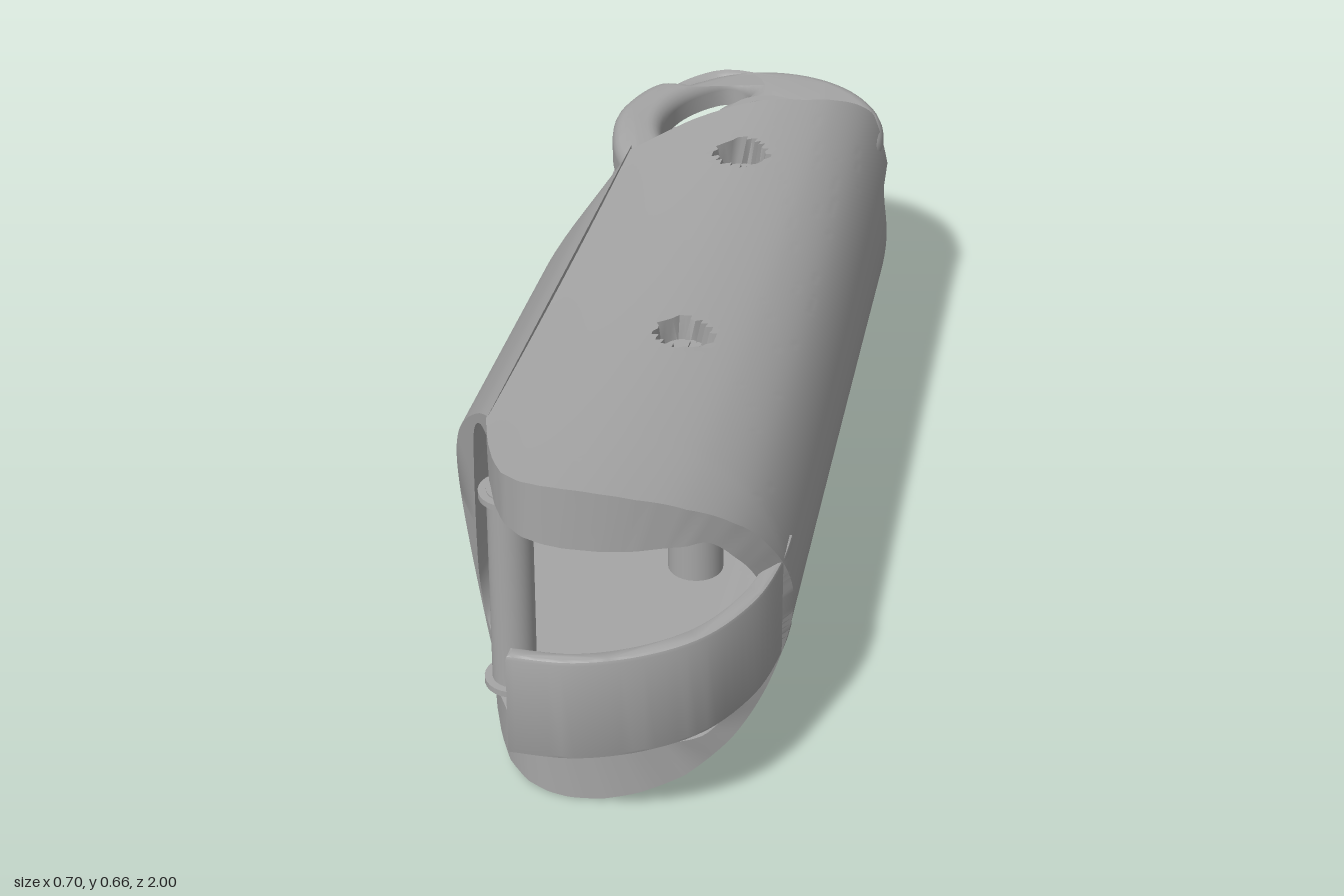
import * as THREE from 'three';
import { toCreasedNormals } from 'three/addons/utils/BufferGeometryUtils.js';

const MID = 0.327; // height of the symmetry plane

// piecewise-linear lookup in [[key, value], ...]
function lookup(table, k) {
  if (k <= table[0][0]) return table[0][1];
  for (let i = 1; i < table.length; i++) {
    const [a, va] = table[i - 1], [b, vb] = table[i];
    if (k <= b) return va + ((vb - va) * (k - a)) / (b - a);
  }
  return table[table.length - 1][1];
}

// half a cross-section mirrored about the mid height, evenly resampled
function section(half, count) {
  const pts = half.map(([x, y]) => new THREE.Vector2(x, y));
  for (let i = half.length - 2; i >= 0; i--) pts.push(new THREE.Vector2(half[i][0], 2 * MID - half[i][1]));
  return new THREE.SplineCurve(pts).getSpacedPoints(count);
}

// thick-walled shell swept along z, with shaped ends
function shell(outer, inner, back, front, warp, steps) {
  const loop = [...outer.map((p) => [p, true]), ...inner.slice().reverse().map((p) => [p, false])];
  const L = loop.length, pos = [], idx = [];
  for (const [p, isOuter] of loop) {
    const z0 = back(p.x, p.y), z1 = front(p.x, p.y);
    for (let j = 0; j <= steps; j++) pos.push(...warp(p.x, p.y, z0 + ((z1 - z0) * j) / steps, isOuter));
  }
  const at = (i, j) => (i % L) * (steps + 1) + j;
  for (let i = 0; i < L; i++) {
    for (let j = 0; j < steps; j++) {
      const a = at(i, j), b = at(i, j + 1), c = at(i + 1, j + 1), d = at(i + 1, j);
      idx.push(a, b, d, b, c, d);
    }
  }
  for (let i = 0; i < outer.length - 1; i++) {
    for (const j of [0, steps]) {
      const a = at(i, j), b = at(i + 1, j), c = at(L - 2 - i, j), d = at(L - 1 - i, j);
      if (j) idx.push(a, d, c, a, c, b);
      else idx.push(a, c, d, a, b, c);
    }
  }
  const g = new THREE.BufferGeometry();
  g.setAttribute('position', new THREE.Float32BufferAttribute(pos, 3));
  g.setIndex(idx);
  return toCreasedNormals(g, 0.6);
}

// plan outline given as [x, z]
const plan = (pts) => new THREE.Shape(pts.map(([x, z]) => new THREE.Vector2(x, -z)));
const smoothPath = (pts, n) =>
  new THREE.SplineCurve(pts.map(([x, z]) => new THREE.Vector2(x, z))).getPoints(n).map((p) => [p.x, p.y]);

export function createModel() {
  const group = new THREE.Group();
  const grey = new THREE.MeshStandardMaterial({ color: 0xa6a6a6 });
  grey.name = 'plain grey';
  const add = (name, geometry, x = 0, y = 0, z = 0) => {
    const m = new THREE.Mesh(geometry, grey);
    m.name = name;
    m.position.set(x, y, z);
    group.add(m);
    return m;
  };

  // main housing: thick top and bottom plates joined by a curved side wall
  const screws = [[0.025, -0.41], [0.07, 0.25]];
  const R = 0.047;
  const frontEdge = [[-0.21, 0.56], [-0.18, 0.65], [-0.15, 0.72], [-0.12, 0.77], [-0.08, 0.803], [-0.04, 0.816],
    [0, 0.82], [0.06, 0.815], [0.12, 0.8], [0.2, 0.765], [0.27, 0.71], [0.32, 0.65], [0.352, 0.595]];
  const backEdge = [[-0.21, -0.44], [-0.1, -0.53], [0, -0.6], [0.13, -0.66], [0.2, -0.715], [0.286, -0.8],
    [0.32, -0.785], [0.352, -0.77]];
  const bodyOuter = section([[-0.21, 0.608], [-0.1, 0.643], [0, 0.655], [0.1, 0.645], [0.2, 0.612],
    [0.28, 0.548], [0.33, 0.45], [0.352, MID]], 130);
  const bodyInner = section([[-0.21, 0.535], [-0.1, 0.535], [0, 0.535], [0.1, 0.535], [0.19, 0.535],
    [0.24, 0.525], [0.295, 0.44], [0.32, MID]], 130);
  const bodyBack = (x, y) => {
    const z = lookup(backEdge, x), t = Math.abs(y - MID) / 0.115;
    return x > 0.2 && t < 1 ? Math.max(z, -0.78 + 0.1 * Math.sqrt(1 - t ** 6)) : z;
  };
  const bodyWarp = (x, y, z, isOuter) => {
    if (x > 0) x *= Math.min(1, 1 - 0.18 * (0.6 - z));
    if (!isOuter) return [x, y, z];
    y = MID + (y - MID) * (0.93 + 0.07 * (z / 0.8) ** 2);
    // screw recesses in the top
    if (y > 0.55) {
      for (const [sx, sz] of screws) {
        const d = Math.hypot(x - sx, z - sz);
        if (d > R * 1.15) continue;
        if (d < R) y = 0.575;
        if (d > R * 0.83) {
          x = sx + ((x - sx) * R) / d;
          z = sz + ((z - sz) * R) / d;
        }
      }
    }
    return [x, y, z];
  };
  add('housing', shell(bodyOuter, bodyInner, bodyBack, (x) => lookup(frontEdge, x), bodyWarp, 140));

  // bulging cover on the open side, cut obliquely at the front
  const coverOuter = section([[-0.208, 0.055], [-0.245, 0.096], [-0.3, 0.178], [-0.338, 0.255], [-0.352, MID]], 48);
  const coverInner = section([[-0.208, 0.105], [-0.24, 0.112], [-0.268, 0.16], [-0.275, 0.24], [-0.276, MID]], 48);
  const coverWarp = (x, y, z) => {
    const t = Math.min(1, Math.max(0, (-0.24 - z) / 0.21));
    return [-0.208 + (x + 0.208) * Math.max(0.04, Math.sqrt(1 - t ** 1.8)), y, z];
  };
  add('sideCover', shell(coverOuter, coverInner, () => -0.45, (x) => 0.555 + (x + 0.208) * 1.78, coverWarp, 50));

  // curved finger wrapping round the front
  const hookPath = [[0.337, 0.54], [0.337, 0.62], [0.318, 0.74], [0.26, 0.86], [0.17, 0.94], [0.06, 0.988], [-0.053, 0.997]];
  const hookInner = [[0.31, 0.54], [0.308, 0.62], [0.288, 0.73], [0.236, 0.838], [0.153, 0.914], [0.053, 0.96], [-0.053, 0.968]];
  const hook = new THREE.ExtrudeGeometry(plan([...smoothPath(hookPath, 36), ...smoothPath(hookInner, 36).reverse()]),
    { depth: 0.19, bevelThickness: 0.008, bevelSize: 0.006, bevelOffset: -0.006, bevelSegments: 2 });
  hook.rotateX(-Math.PI / 2);
  add('frontHook', toCreasedNormals(hook, 0.6), 0, MID - 0.095, 0);

  // rear hinge lugs with pivot hole and arc slot
  const PZ = -0.76;
  const lugOutline = [[0.2, -0.36]];
  for (let i = 0; i <= 28; i++) {
    const a = -0.1 + (i / 28) * 2.35;
    lugOutline.push([0.24 * Math.cos(a), PZ - 0.24 * Math.sin(a)]);
  }
  lugOutline.push(...smoothPath([[-0.2, -0.9], [-0.26, -0.89], [-0.3, -0.82], [-0.315, -0.73], [-0.29, -0.62],
    [-0.235, -0.51], [-0.2, -0.42]], 24), [-0.2, -0.36]);
  const lugShape = (s) => {
    const shape = plan(lugOutline.map(([x, z]) => [x * s, z]));
    const hole = new THREE.Path();
    hole.absarc(0, -PZ, 0.06, 0, Math.PI * 2);
    const slot = [];
    const arc = (cx, cz, r, a0, a1, n) => {
      for (let i = 0; i <= n; i++) {
        const a = a0 + ((a1 - a0) * i) / n;
        slot.push(new THREE.Vector2(s * (cx + r * Math.cos(a)), -PZ + cz + r * Math.sin(a)));
      }
    };
    const A = Math.PI - 0.87, B = Math.PI + 0.87, r = 0.172, w = 0.045;
    arc(0, 0, r + w, A, B, 20);
    arc(r * Math.cos(B), r * Math.sin(B), w, B, B + Math.PI, 8);
    arc(0, 0, r - w, B, A, 20);
    arc(r * Math.cos(A), r * Math.sin(A), w, A + Math.PI, A + 2 * Math.PI, 8);
    shape.holes.push(hole, new THREE.Path(slot));
    return shape;
  };
  const bossProfile = [[0.045, 0], [0.06, 0], [0.09, 0.05], [0.09, 0.075], [0.082, 0.085], [0.062, 0.085],
    [0.056, 0.07], [0.045, 0.07], [0.045, 0]].map(([x, y]) => new THREE.Vector2(x, y));
  for (const s of [1, -1]) {
    const side = s > 0 ? 'upper' : 'lower';
    const parts = {
      Lug: new THREE.ExtrudeGeometry(lugShape(s), { depth: 0.035, bevelEnabled: false, curveSegments: 20 }),
      LugRoundedFace: new THREE.ExtrudeGeometry(lugShape(s), { depth: 0.002, curveSegments: 20,
        bevelThickness: 0.032, bevelSize: 0.03, bevelOffset: -0.03, bevelSegments: 5 }).translate(0, 0, 0.034),
    };
    for (const [name, g] of Object.entries(parts)) {
      g.rotateX(-Math.PI / 2);
      if (s < 0) g.rotateZ(Math.PI);
      add(side + name, toCreasedNormals(g, 0.6), 0, MID + s * 0.122, 0);
    }
    const boss = new THREE.LatheGeometry(bossProfile, 32);
    if (s < 0) boss.rotateX(Math.PI);
    add(side + 'PivotBoss', toCreasedNormals(boss, 0.5), 0, MID + s * 0.122, PZ);
  }

  // curved stop tab between the lugs
  const tabOuter = [[-0.21, -0.44], [-0.25, -0.54], [-0.3, -0.64], [-0.317, -0.74], [-0.295, -0.85], [-0.255, -0.945]];
  const tabInner = [[-0.17, -0.44], [-0.2, -0.54], [-0.235, -0.64], [-0.248, -0.74], [-0.24, -0.84], [-0.205, -0.915]];
  const tab = new THREE.ExtrudeGeometry(plan([...smoothPath(tabOuter, 24), ...smoothPath(tabInner, 24).reverse()]),
    { depth: 0.145, bevelEnabled: false });
  tab.rotateX(-Math.PI / 2);
  add('stopTab', toCreasedNormals(tab, 0.6), 0, 0.237, 0);

  // internal posts and the flanged front pin
  const post = (name, r, h, x, y, z) => add(name, new THREE.CylinderGeometry(r, r, h, 28), x, y, z);
  post('rearPost', 0.06, 0.43, 0.02, MID, -0.41);
  post('frontPost', 0.052, 0.43, 0.093, MID, 0.25);
  post('frontPin', 0.04, 0.42, -0.138, MID, 0.67);
  for (const y of [0.127, 0.528]) post('pinFlange', 0.054, 0.012, -0.138, y, 0.67);

  // cross-head screws sunk in the top recesses
  for (const [x, z] of screws) {
    post('screwHead', 0.042, 0.02, x, 0.578, z);
    for (const [w, d] of [[0.055, 0.01], [0.01, 0.055]]) {
      add('screwCross', new THREE.BoxGeometry(w, 0.006, d), x, 0.59, z);
    }
  }
  return group;
}
